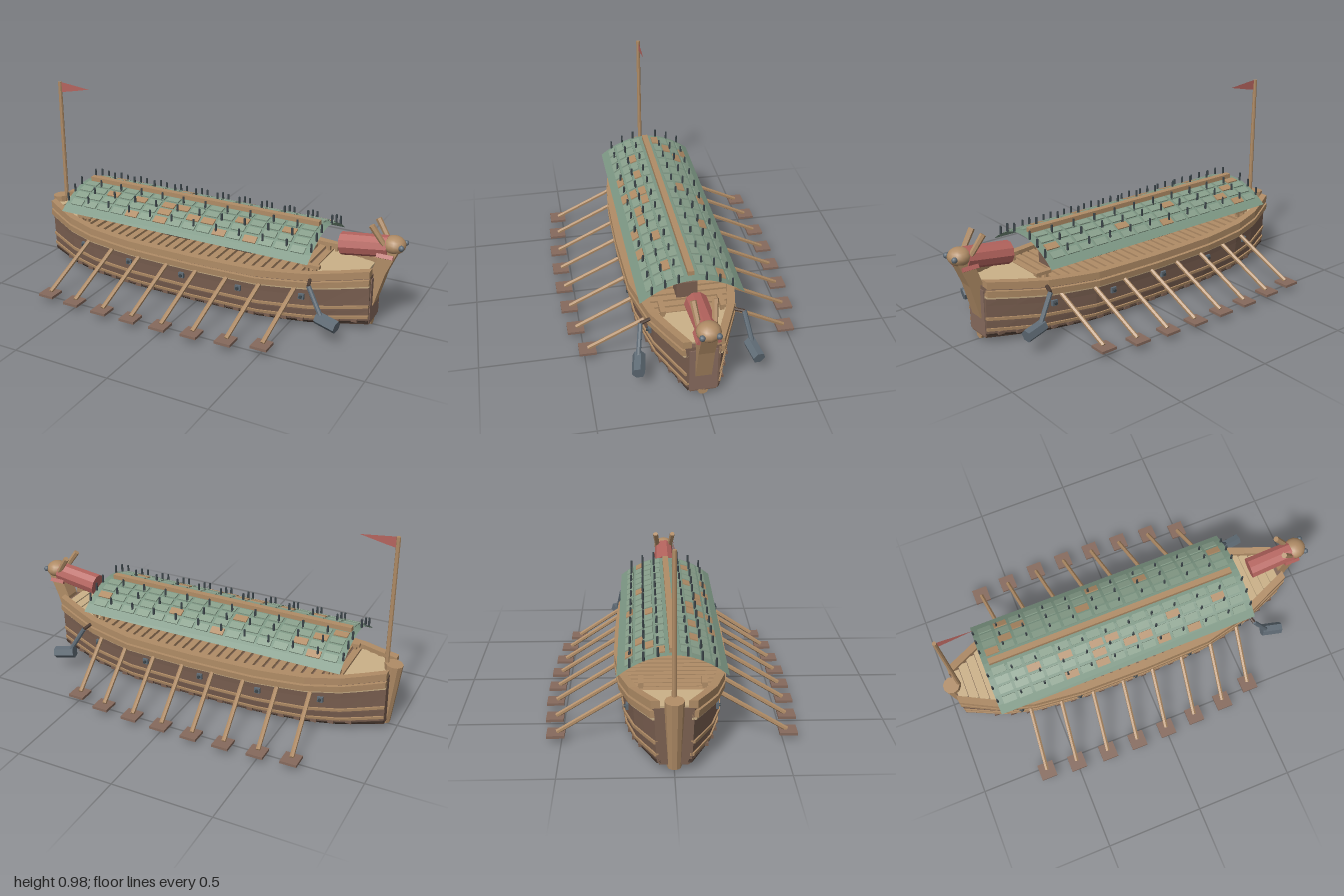
import * as THREE from 'three';

const mat = (name, color, extra = {}) => {
  const m = new THREE.MeshStandardMaterial({ color, ...extra });
  m.name = name;
  return m;
};
const D = { side: THREE.DoubleSide };

// Loft closed cross-section loops into a capped, flat-shaded solid facing outwards.
function loft(loops) {
  const pos = [], n = loops[0].length, V = new THREE.Vector3();
  const pts = loops.map(l => l.map(p => new THREE.Vector3(...p)));
  const tris = [];
  for (let i = 0; i < pts.length - 1; i++) for (let j = 0; j < n; j++) {
    const k = (j + 1) % n, a = pts[i][j], b = pts[i][k], c = pts[i + 1][k], d = pts[i + 1][j];
    tris.push([a, b, c], [a, c, d]);
  }
  const end = pts[pts.length - 1];
  for (let j = 1; j < n - 1; j++) tris.push([pts[0][0], pts[0][j + 1], pts[0][j]], [end[0], end[j], end[j + 1]]);
  let vol = 0;
  for (const [a, b, c] of tris) vol += a.dot(V.crossVectors(b, c));
  for (const [a, b, c] of tris) for (const p of vol > 0 ? [a, b, c] : [a, c, b]) pos.push(p.x, p.y, p.z);
  const g = new THREE.BufferGeometry();
  g.setAttribute('position', new THREE.Float32BufferAttribute(pos, 3));
  g.computeVertexNormals();
  return g;
}

// Piecewise-linear lookup
function table(t, x) {
  let i = 0;
  while (i < t.length - 2 && x > t[i + 1][0]) i++;
  const [x0, y0] = t[i], [x1, y1] = t[i + 1];
  return y0 + (y1 - y0) * THREE.MathUtils.clamp((x - x0) / (x1 - x0), 0, 1);
}

// Hull form: half width, sheer line, bottom line and side profile
const WIDTH = [[-0.95, 0.085], [-0.76, 0.18], [-0.6, 0.225], [-0.35, 0.25], [0, 0.255], [0.35, 0.245], [0.6, 0.19], [0.86, 0.08]];
const SIDE = [[0, 0.74], [0.06, 0.87], [0.3, 0.93], [0.6, 0.96], [0.85, 1], [1, 1]];
const STATIONS = [-0.95, -0.85, -0.76, -0.6, -0.45, -0.35, -0.18, 0, 0.18, 0.35, 0.48, 0.6, 0.73, 0.86];
const sheer = x => 0.27 + 0.05 * Math.pow(Math.abs(x) / 0.95, 3);
const bottom = x => 0.003 + 0.03 * Math.pow(Math.abs(x) / 0.95, 3);
const hullY = (x, v) => bottom(x) + (sheer(x) - bottom(x)) * v;
const hullZ = (x, v) => table(WIDTH, x) * table(SIDE, v);

export function createModel() {
  const M = {
    tan: mat('tan timber', 0xb08c66),
    pale: mat('pale planking', 0xcbb188),
    hull: mat('hull brown', 0x7b6051),
    dark: mat('dark timber', 0x4d3c33),
    blade: mat('oar blade brown', 0x866a5d),
    roof: mat('roof green', 0x7b9582, D),
    tile: mat('tile green', 0x889f8b),
    red: mat('faded red', 0xb5645e, D),
    iron: mat('iron', 0x5f6b75),
    spike: mat('dark iron', 0x3c454a),
  };
  const ship = new THREE.Group();
  ship.name = 'ship';
  const add = (name, geo, m, p = [0, 0, 0]) => {
    const mesh = new THREE.Mesh(geo, m);
    mesh.name = name;
    mesh.position.set(...p);
    ship.add(mesh);
    return mesh;
  };
  const box = (name, m, size, p) => add(name, new THREE.BoxGeometry(...size), m, p);
  // Straight bar between two points
  const bar = (name, m, a, b, r0, r1 = r0, sides = 8) => {
    const A = new THREE.Vector3(...a), B = new THREE.Vector3(...b), d = B.clone().sub(A);
    const g = new THREE.CylinderGeometry(r1, r0, d.length(), sides).toNonIndexed();
    g.computeVertexNormals();
    const mesh = add(name, g, m, A.clone().add(B).multiplyScalar(0.5).toArray());
    mesh.quaternion.setFromUnitVectors(new THREE.Vector3(0, 1, 0), d.normalize());
    return mesh;
  };

  // Hull body with its deck surface
  const VS = [0, 0.06, 0.3, 0.6, 0.85, 0.92];
  add('hull', loft(STATIONS.map(x => [
    ...[...VS].reverse().map(v => [x, hullY(x, v), -hullZ(x, v)]),
    ...VS.map(v => [x, hullY(x, v), hullZ(x, v)]),
  ])), M.hull);

  // Strakes and rails that follow the hull: bottom, top, outward reach, inward reach
  const strakes = [
    ['gunwale', M.tan, 0.91, 1.04, 0.014, 0.025],
    ['upperWale', M.tan, 0.77, 0.88, 0.018, 0.01],
    ['paleStrake', M.pale, 0.73, 0.77, 0.009, 0.01],
    ['middleStrake', M.tan, 0.34, 0.39, 0.008, 0.01],
    ['lowerStrake', M.tan, 0.14, 0.19, 0.008, 0.01],
    ['bilgeStrake', M.dark, 0.03, 0.09, 0.006, 0.012],
  ];
  for (const s of [-1, 1]) for (const [name, m, v0, v1, out, inn] of strakes)
    add(name, loft(STATIONS.map(x => {
      const a = hullZ(x, v0), b = hullZ(x, v1), y0 = hullY(x, v0), y1 = hullY(x, v1);
      return [[x, y0, s * (a - inn)], [x, y0, s * (a + out)], [x, y1, s * (b + out)], [x, y1, s * (b - inn)]];
    })), m);

  // Deck planks laid across, close-set at both ends
  for (let x = -0.92; x < 0.84; x += 0.048) {
    const end = x < -0.74 || x > 0.58;
    box('deckPlank', end ? M.pale : M.tan, [end ? 0.046 : 0.034, 0.014, 2 * Math.min(hullZ(x - 0.02, 1), hullZ(x + 0.02, 1)) - 0.03], [x, hullY(x, 0.93) + 0.003, 0]);
  }
  // Lattice hatches
  for (const hx of [-0.18, 0.17]) for (let i = -3; i <= 3; i++) {
    box('hatchSlat', M.dark, [0.15, 0.012, 0.01], [hx, 0.272, i * 0.022]);
    box('hatchSlat', M.dark, [0.01, 0.012, 0.142], [hx + i * 0.023, 0.276, 0]);
  }
  // Windlass beam on its stand
  box('windlassStand', M.hull, [0.085, 0.1, 0.1], [0.44, 0.3, 0]);
  bar('windlassBeam', M.tan, [0.44, 0.362, -0.13], [0.44, 0.362, 0.13], 0.015, 0.015, 6);

  for (const s of [-1, 1]) {
    // Cleats
    for (const x of [-0.7, 0.59]) {
      box('cleat', M.tan, [0.085, 0.016, 0.025], [x, 0.308, s * 0.14]);
      for (const d of [-0.02, 0.02]) box('cleatLeg', M.tan, [0.014, 0.045, 0.02], [x + d, 0.285, s * 0.14]);
    }
    // Side ports with iron rings
    for (const x of [-0.67, -0.365, -0.055, 0.255, 0.565]) {
      const v = 0.58, z = s * (hullZ(x, v) + 0.005);
      box('portPlate', M.iron, [0.028, 0.028, 0.014], [x, hullY(x, v), z]);
      bar('portBolt', M.spike, [x, hullY(x, v), z], [x, hullY(x, v), z + s * 0.016], 0.008);
    }
    // Studs along the bilge
    for (let x = -0.8; x < 0.8; x += 0.08)
      box('bilgeStud', M.hull, [0.03, 0.016, 0.014], [x, hullY(x, 0.11), s * (hullZ(x, 0.11) + 0.005)]);
    // Oars
    [-0.66, -0.5, -0.33, -0.165, 0, 0.165, 0.335, 0.5].forEach((x, i) => {
      const z = [0.525, 0.54, 0.55, 0.552, 0.55, 0.54, 0.525, 0.485][i];
      box('oarBlade', M.blade, [0.082, 0.013, 0.082], [x, 0.035, s * z]);
      bar('oarShaft', M.tan, [x, 0.042, s * (z - 0.005)], [x + 0.038, 0.225, s * (hullZ(x + 0.03, 0.8) - 0.02)], 0.011, 0.011, 6);
    });
    // Anchors hung at the bow
    bar('anchorShank', M.iron, [0.62, 0.255, s * 0.245], [0.705, 0.11, s * 0.272], 0.012);
    bar('anchorHead', M.iron, [0.675, 0.115, s * 0.262], [0.78, 0.098, s * 0.282], 0.031, 0.031, 6);
    bar('anchorHanger', M.dark, [0.62, 0.255, s * 0.245], [0.6, 0.27, s * 0.17], 0.009);
  }

  // Curved roof sheet
  const roofY = z => 0.458 - 0.098 * (z / 0.245) ** 2;
  const sheet = new THREE.PlaneGeometry(1.38, 0.49, 1, 12).rotateX(-Math.PI / 2);
  const sp = sheet.attributes.position;
  for (let i = 0; i < sp.count; i++) sp.setY(i, roofY(sp.getZ(i)));
  const flatSheet = sheet.toNonIndexed();
  flatSheet.computeVertexNormals();
  add('roof', flatSheet, M.roof, [-0.08, 0, 0]);
  box('roofRidge', M.tan, [1.31, 0.024, 0.03], [-0.085, 0.468, 0]);

  // Roof tiles, with scattered timber ones
  let seed = 7;
  const rand = () => (seed = (seed * 16807) % 2147483647) / 2147483647;
  for (const s of [-1, 1]) for (const z of [0.052, 0.1, 0.146, 0.192]) for (let c = 0; c < 16; c++) {
    const t = box('roofTile', rand() < 0.2 ? M.tan : M.tile, [0.068, 0.006, 0.037], [-0.705 + c * 0.083, roofY(z) + 0.005, s * z]);
    t.rotation.x = s * Math.atan(2 * 0.098 * z / 0.06);
  }
  // Roof spikes
  for (const s of [-1, 1]) for (const z of [0.065, 0.127, 0.188]) for (let c = 0; c < 12; c++)
    bar('roofSpike', M.spike, [-0.765 + c * 0.1245, roofY(z), s * z], [-0.765 + c * 0.1245, roofY(z) + 0.042, s * z], 0.006, 0.005, 6);

  // Stem, figurehead neck and bow plate
  const neck = new THREE.Shape([[0.845, 0.1], [0.868, 0.12], [0.915, 0.29], [0.97, 0.42], [0.9, 0.43], [0.85, 0.3]].map(p => new THREE.Vector2(...p)));
  add('neckPost', new THREE.ExtrudeGeometry(neck, { depth: 0.074, bevelEnabled: false }), M.tan, [0, 0, -0.037]);
  box('bowPlate', M.blade, [0.014, 0.23, 0.13], [0.857, 0.15, 0]);
  bar('bowKeelEnd', M.tan, [0.8, 0.025, 0], [0.86, 0.025, 0], 0.025, 0.025, 8);

  // Figurehead: head, eyes, horns and red mane
  const head = new THREE.SphereGeometry(1, 14, 10);
  add('head', head, M.tan, [0.938, 0.435, 0]).scale.set(0.056, 0.043, 0.056);
  bar('mane', M.red, [0.685, 0.39, 0], [0.915, 0.422, 0], 0.056, 0.052, 10);
  for (const s of [-1, 1]) {
    add('eye', new THREE.SphereGeometry(0.014, 10, 8), M.iron, [0.983, 0.439, s * 0.037]);
    bar('horn', M.tan, [0.9, 0.44, s * 0.036], [0.84, 0.53, s * 0.049], 0.013, 0.015, 6);
    const jaw = box('jaw', M.red, [0.08, 0.02, 0.016], [0.91, 0.385, s * 0.044]);
    jaw.rotation.x = s * -0.5;
  }

  // Stern post, flagpole and pennant
  bar('sternPost', M.tan, [-0.93, 0.015, 0], [-0.957, 0.335, 0], 0.032, 0.043, 10);
  bar('flagpole', M.tan, [-0.92, 0.25, 0], [-0.92, 0.975, 0], 0.011, 0.01);
  const flag = new THREE.Shape([[-0.915, 0.975], [-0.915, 0.92], [-0.86, 0.93], [-0.74, 0.955]].map(p => new THREE.Vector2(...p)));
  add('pennant', new THREE.ShapeGeometry(flag), M.red);

  return ship;
}
